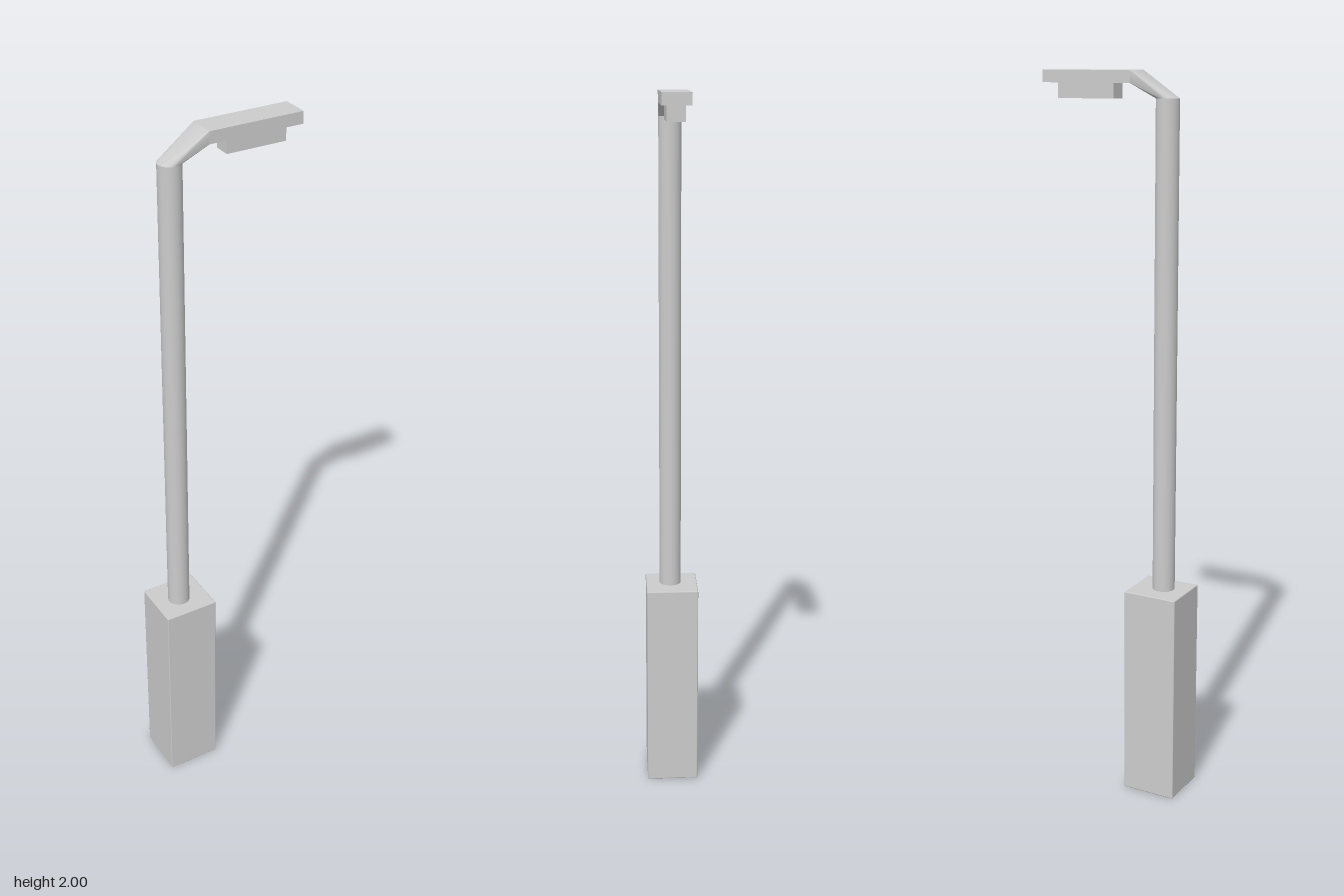
import * as THREE from 'three';
import { toCreasedNormals } from 'three/addons/utils/BufferGeometryUtils.js';
import { RoundedBoxGeometry } from 'three/addons/geometries/RoundedBoxGeometry.js';

const POLE = { x: -0.139, z: 0.003, r: 0.031, top: 1.93, sides: 32 };
const ARM = { x0: -0.05, x1: 0.21, y0: 1.968, y1: 2, halfZ: 0.038 };

// Transition piece: round pole top blending into the rectangular arm end
function neckGeometry() {
  const { x, z, r, top, sides } = POLE;
  const circle = (i) => {
    const a = (i / sides) * Math.PI * 2;
    return [x + r * Math.cos(a), top, z + r * Math.sin(a)];
  };
  // one arm corner per quarter of the circle: front pair low, rear pair high
  const { x0, y0, y1, halfZ: h } = ARM;
  const corners = [[x0, y0, h], [x0, y1, h], [x0, y1, -h], [x0, y0, -h]];
  const pos = [];
  const quarter = sides / 4;
  for (let q = 0; q < 4; q++) {
    const corner = corners[q];
    for (let i = q * quarter; i < (q + 1) * quarter; i++) {
      pos.push(...circle(i), ...corner, ...circle(i + 1));
    }
    // flat triangle between neighbouring corner fans
    pos.push(...circle((q + 1) * quarter), ...corner, ...corners[(q + 1) % 4]);
  }
  const geo = new THREE.BufferGeometry();
  geo.setAttribute('position', new THREE.Float32BufferAttribute(pos, 3));
  return toCreasedNormals(geo, 0.5);
}

export function createModel() {
  const group = new THREE.Group();
  const material = new THREE.MeshStandardMaterial({ color: 0xcccccc });
  const neckMaterial = new THREE.MeshStandardMaterial({ color: 0xcccccc, side: THREE.DoubleSide });

  const add = (name, geometry, x, y, z, mat = material) => {
    const mesh = new THREE.Mesh(geometry, mat);
    mesh.name = name;
    mesh.position.set(x, y, z);
    group.add(mesh);
  };

  // Base pedestal with finely eased edges
  add('base', new RoundedBoxGeometry(0.156, 0.6, 0.148, 1, 0.003), -0.134, 0.3, -0.001);

  // Round pole, seated slightly into the base
  const bottom = 0.59;
  add('pole', new THREE.CylinderGeometry(POLE.r, POLE.r, POLE.top - bottom, POLE.sides),
    POLE.x, (POLE.top + bottom) / 2, POLE.z);

  // Sloping neck, flat arm and lamp housing beneath it
  add('neck', neckGeometry(), 0, 0, 0, neckMaterial);
  add('arm', new THREE.BoxGeometry(ARM.x1 - ARM.x0, ARM.y1 - ARM.y0, ARM.halfZ * 2),
    (ARM.x0 + ARM.x1) / 2, (ARM.y0 + ARM.y1) / 2, 0);
  add('lamp', new THREE.BoxGeometry(0.166, 0.042, 0.048), 0.088, 1.949, 0);

  return group;
}
